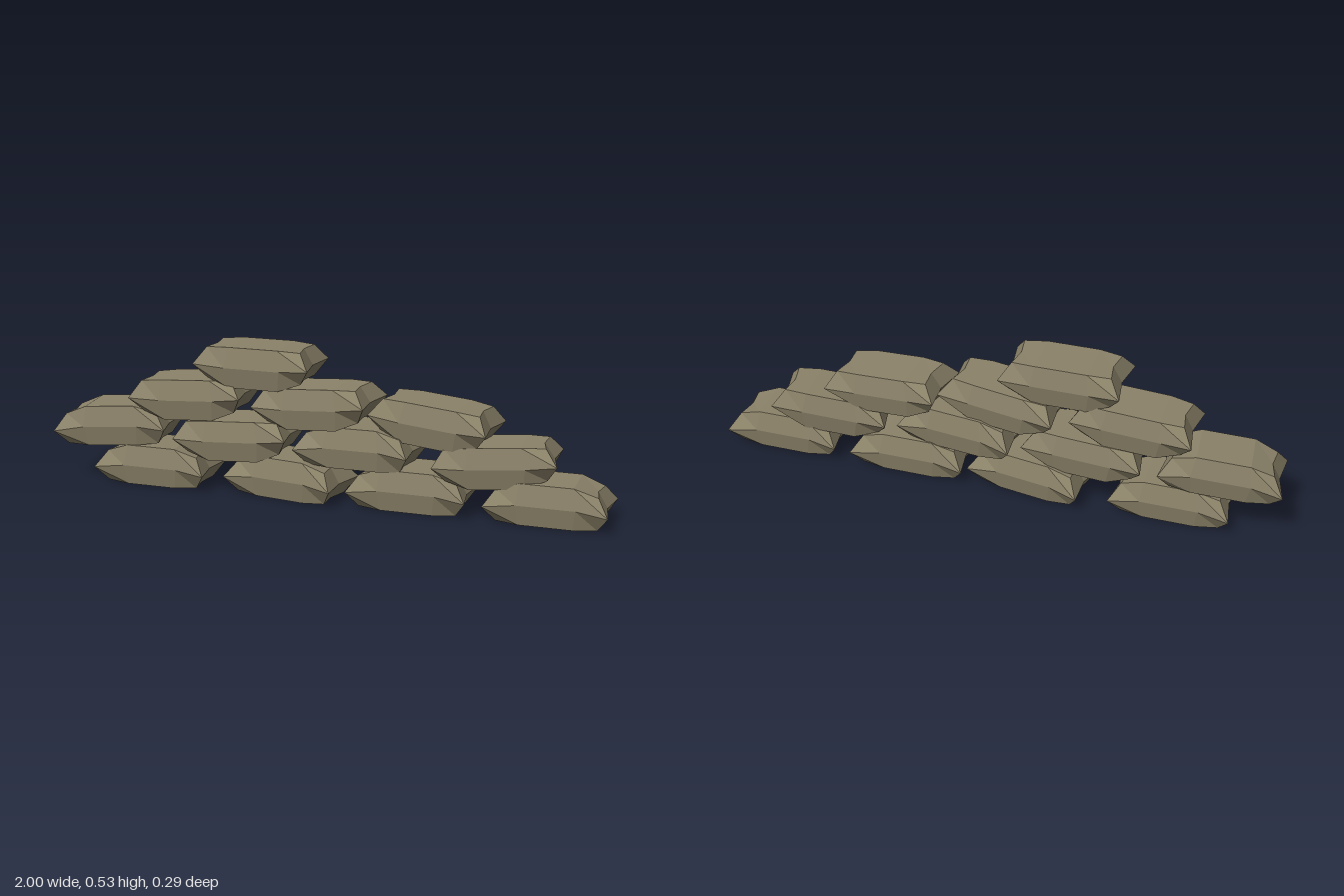
import * as THREE from 'three';

// Ten-point outline: pinched long sides and hollow ends.
// xe, ze, ye: end corners; xd: hollow depth; xm, zm, ym: points along the sides
function ring(xe, ze, ye, xd, xm, zm, ym) {
  return [
    [xe - xd, ye, 0], [xe, ye, ze], [xm, ym, zm], [-xm, ym, zm], [-xe, ye, ze],
    [xd - xe, ye, 0], [-xe, ye, -ze], [-xm, ym, -zm], [xm, ym, -zm], [xe, ye, -ze],
  ];
}

// Stuffed bag: flat base, wide seam and domed top, with its origin at seam height
function bagGeometry() {
  const rings = [
    ring(0.17, 0.075, -0.055, 0.012, 0.09, 0.086, -0.06),
    ring(0.208, 0.115, 0, 0.018, 0.1, 0.1, 0.011),
    ring(0.17, 0.073, 0.055, 0.012, 0.09, 0.085, 0.083),
  ];
  const n = 10, index = [];
  for (let r = 0; r < 2; r++) {
    for (let i = 0; i < n; i++) {
      const a = r * n + i, b = r * n + (i + 1) % n;
      index.push(a, a + n, b + n, a, b + n, b);
    }
  }
  const cap = [[0, 1, 2], [0, 2, 8], [0, 8, 9], [2, 3, 7], [2, 7, 8], [3, 4, 5], [3, 5, 7], [5, 6, 7]];
  for (const [a, b, c] of cap) {
    index.push(a, b, c);
    index.push(2 * n + a, 2 * n + c, 2 * n + b);
  }
  const g = new THREE.BufferGeometry();
  g.setAttribute('position', new THREE.Float32BufferAttribute(rings.flat(2), 3));
  g.setIndex(index);
  const flat = g.toNonIndexed();
  flat.computeVertexNormals();
  return flat;
}

export function createModel() {
  const group = new THREE.Group();
  group.name = 'sandbagWall';
  const canvas = new THREE.MeshStandardMaterial({ color: 0x8b8269, flatShading: true });
  canvas.name = 'khaki canvas';
  const geometry = bagGeometry();

  // Each bag: x, seam height, yaw, tilt, upside down
  const rows = {
    bottomRowBag: [
      [-0.627, 0.06, 0, 0, false],
      [-0.13, 0.06, -0.16, 0, false],
      [0.312, 0.06, 0, 0, false],
      [0.786, 0.06, 0, 0, false],
    ],
    secondRowBag: [
      [-0.785, 0.197, 0.085, 0.065, false],
      [-0.32, 0.203, 0, 0.06, true],
      [0.126, 0.193, -0.085, 0.03, false],
      [0.605, 0.195, 0.085, 0.075, true],
    ],
    thirdRowBag: [
      [-0.485, 0.338, 0, 0.06, true],
      [-0.025, 0.341, -0.085, 0.08, true],
      [0.393, 0.317, -0.085, -0.08, true],
    ],
    topBag: [[-0.237, 0.467, 0, 0, true]],
  };

  for (const [name, bags] of Object.entries(rows)) {
    bags.forEach(([x, y, yaw, tilt, flipped], i) => {
      const bag = new THREE.Mesh(geometry, canvas);
      bag.name = name + (i + 1);
      bag.position.set(x, y, 0);
      bag.rotation.set(flipped ? Math.PI : 0, yaw, tilt, 'YZX');
      group.add(bag);
    });
  }
  return group;
}
